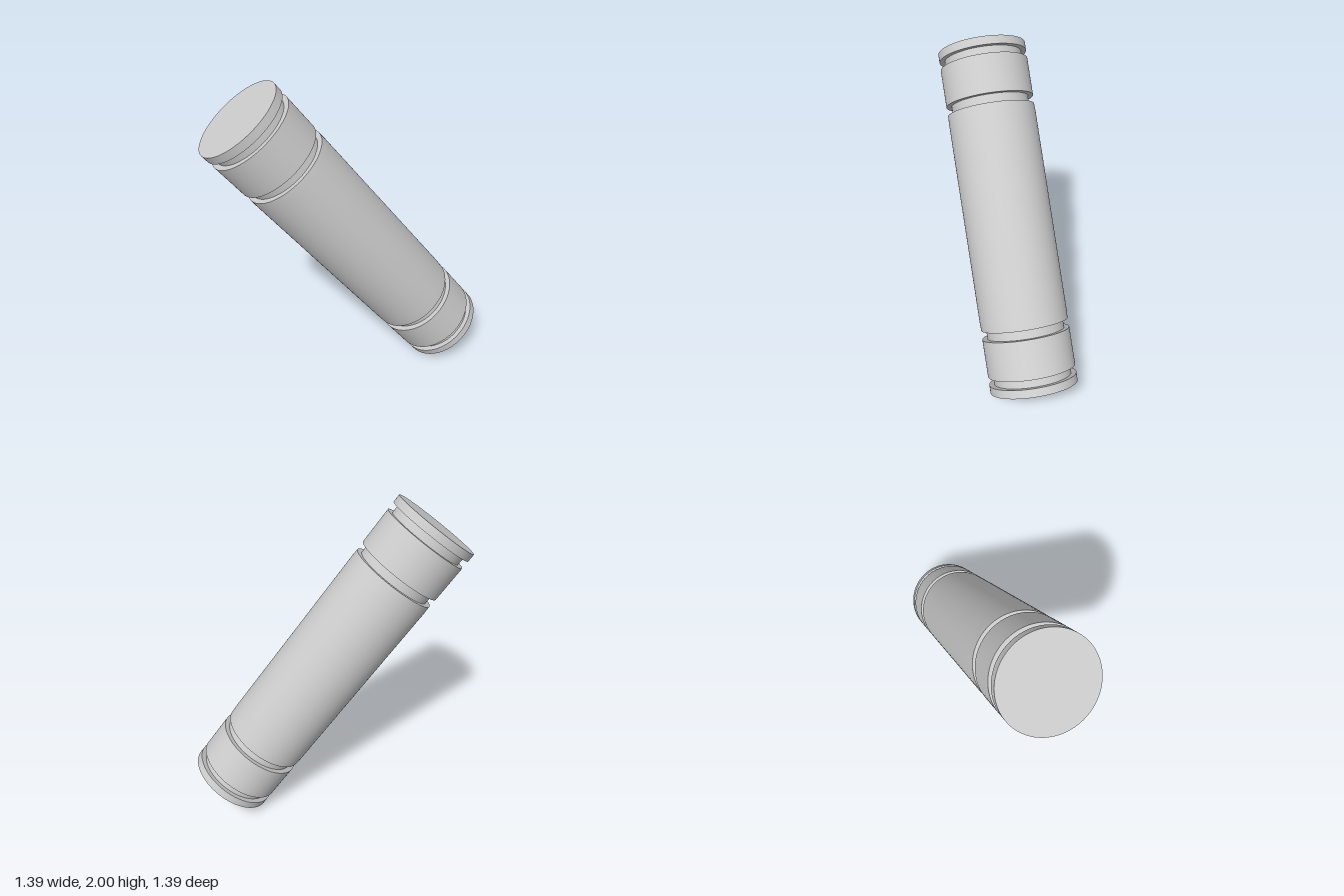
import * as THREE from 'three';
import { toCreasedNormals } from 'three/addons/utils/BufferGeometryUtils.js';

const RADIUS = 0.27;
const FLOOR = 0.238; // radius at the bottom of a groove
const HALF = 1.05; // half the length of the rod

export function createModel() {
  const group = new THREE.Group();
  group.name = 'groovedPin';

  // One end as [radius, distance from the end face]: cap, groove, collar, groove, shaft
  const end = [
    [0, 0], [RADIUS, 0], [RADIUS, 0.05],
    [FLOOR, 0.05], [FLOOR, 0.1],
    [RADIUS, 0.1], [RADIUS, 0.33],
    [FLOOR, 0.33], [FLOOR, 0.385],
    [RADIUS - 0.002, 0.385], [RADIUS, 0.435],
  ];

  // Mirror the end so that both ends of the rod carry the same grooves
  const bottom = end.map(([r, t]) => new THREE.Vector2(r, t - HALF));
  const top = end.map(([r, t]) => new THREE.Vector2(r, HALF - t)).reverse();

  const geometry = toCreasedNormals(
    new THREE.LatheGeometry([...bottom, ...top], 96),
    Math.PI / 6
  );
  const pin = new THREE.Mesh(
    geometry,
    new THREE.MeshStandardMaterial({ color: 0xcccccc })
  );
  pin.name = 'pinBody';

  // Lean the rod so its upper end points forward and to -x
  const axis = new THREE.Vector3(-0.428, 0.795, 0.428).normalize();
  pin.quaternion.setFromUnitVectors(new THREE.Vector3(0, 1, 0), axis);
  pin.position.y = 1;
  group.add(pin);

  return group;
}
